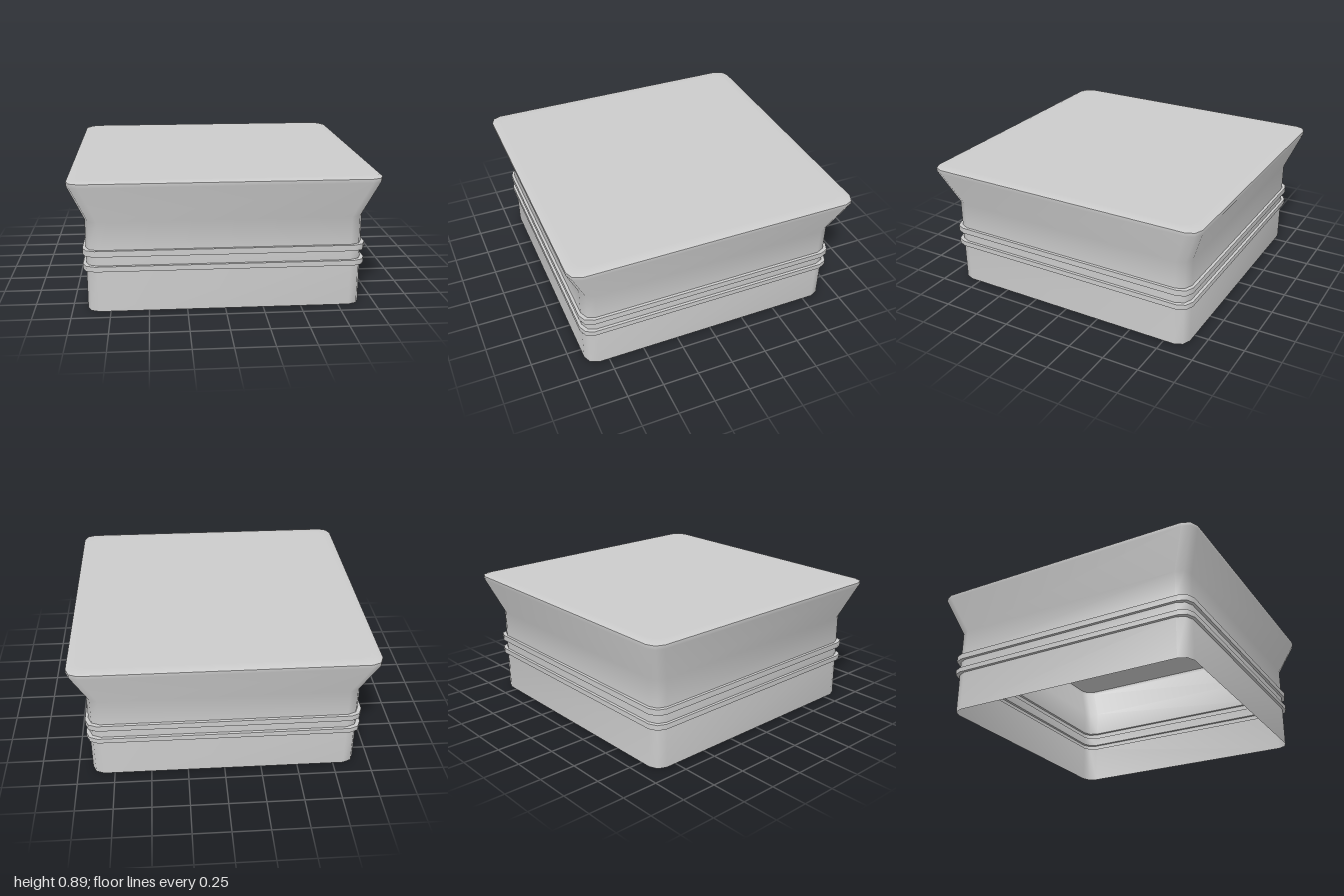
import * as THREE from 'three';
import { toCreasedNormals } from 'three/addons/utils/BufferGeometryUtils.js';

// Square outline of half-width r with softly cut corners (three points per corner)
function squareLoop(r, y) {
  const corner = [[r, r - 0.08], [r - 0.024, r - 0.024], [r - 0.08, r]];
  const points = [];
  for (let k = 0; k < 4; k++) {
    const c = Math.round(Math.cos(k * Math.PI / 2));
    const s = Math.round(Math.sin(k * Math.PI / 2));
    for (const [u, v] of corner) points.push([u * c - v * s, y, -(u * s + v * c)]);
  }
  return points;
}

// Joins a profile of [half-width, height] loops into a shell, optionally closed on top
function loftSquare(profile, closeTop) {
  const positions = profile.flatMap(([r, y]) => squareLoop(r, y)).flat();
  const index = [];
  const n = 12;
  for (let i = 0; i < profile.length - 1; i++) {
    for (let j = 0; j < n; j++) {
      const a = i * n + j, b = i * n + (j + 1) % n;
      index.push(a, b, b + n, a, b + n, a + n);
    }
  }
  if (closeTop) {
    const last = (profile.length - 1) * n, centre = profile.length * n;
    positions.push(0, profile[profile.length - 1][1], 0);
    for (let j = 0; j < n; j++) index.push(centre, last + j, last + (j + 1) % n);
  }
  const geometry = new THREE.BufferGeometry();
  geometry.setAttribute('position', new THREE.Float32BufferAttribute(positions, 3));
  geometry.setIndex(index);
  return toCreasedNormals(geometry, THREE.MathUtils.degToRad(65));
}

export function createModel() {
  const group = new THREE.Group();
  group.name = 'squareCapital';
  const material = new THREE.MeshStandardMaterial({ color: 0xcccccc, side: THREE.DoubleSide });
  const add = (name, profile, closeTop = false) => {
    const mesh = new THREE.Mesh(loftSquare(profile, closeTop), material);
    mesh.name = name;
    group.add(mesh);
  };
  const wall = 0.902, band = 0.922;

  // Straight walls, open underneath
  add('base', [[wall, 0], [wall, 0.28]]);
  add('neck', [[wall, 0.315], [wall, 0.38]]);

  // Two raised bands, hollow on the inside like the walls
  for (const [name, y0, y1] of [['lowerBand', 0.28, 0.315], ['upperBand', 0.38, 0.42]]) {
    add(name, [[wall, y0], [band, y0], [band, y1], [wall, y1]]);
  }

  // Flared head with a small bevelled rim and a flat top
  add('flaredHead', [
    [wall, 0.42], [wall, 0.607], [1, 0.855], [1, 0.88], [0.975, 0.888], [0.93, 0.888],
  ], true);

  return group;
}
